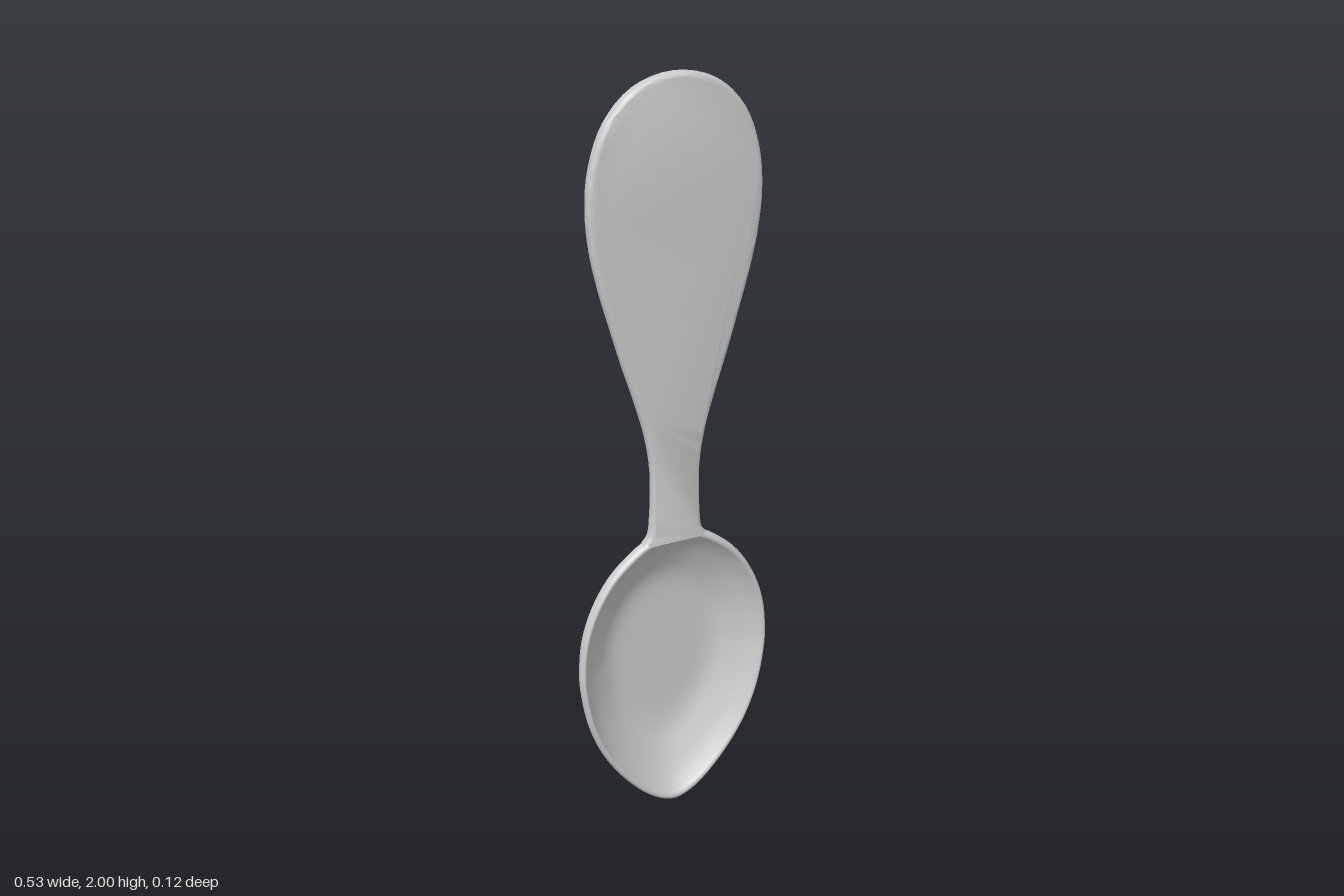
import * as THREE from 'three';
import { toCreasedNormals } from 'three/addons/utils/BufferGeometryUtils.js';

const material = new THREE.MeshStandardMaterial({ color: 0xcccccc });

// Smooth, symmetric, counter-clockwise outline from right-hand points (bottom to top)
function mirroredCurve(half, closed) {
  const left = half.filter(([x]) => x > 0).reverse().map(([x, y]) => [-x, y]);
  const points = [...half, ...left].map(([x, y]) => new THREE.Vector3(x, y, 0));
  return new THREE.CatmullRomCurve3(points, closed, 'centripetal');
}

// Bowl shell: the egg outline scaled to rings, from the back centre over the rim to the inner floor
function bowlGeometry() {
  const outline = mirroredCurve([
    [0, 0.002], [0.06, 0.025], [0.138, 0.1], [0.205, 0.2], [0.244, 0.3], [0.263, 0.4],
    [0.267, 0.46], [0.258, 0.56], [0.228, 0.65], [0.182, 0.725], [0.13, 0.775],
    [0.075, 0.81], [0, 0.826],
  ], true);
  const profile = new THREE.CatmullRomCurve3([
    [0.01, -0.06], [0.3, -0.06], [0.5, -0.058], [0.6, -0.05], [0.7, -0.033], [0.85, -0.002],
    [0.95, 0.017], [0.998, 0.031], [1, 0.042], [0.985, 0.053], [0.958, 0.054], [0.93, 0.044],
    [0.85, 0.02], [0.7, -0.01], [0.6, -0.025], [0.5, -0.032], [0.3, -0.034], [0.01, -0.034],
  ].map(([s, z]) => new THREE.Vector3(s, z, 0)), false, 'centripetal');
  const sides = 96, steps = 68, centreY = 0.44;
  const positions = [], index = [];
  const rim = Array.from({ length: sides }, (_, i) => outline.getPoint(i / sides));
  for (let j = 0; j <= steps; j++) {
    const { x: s, y: z } = profile.getPoint(j / steps);
    for (const p of rim) positions.push(p.x * s, centreY + (p.y - centreY) * s, z);
  }
  for (let j = 0; j < steps; j++) {
    for (let i = 0; i < sides; i++) {
      const a = j * sides + i, b = j * sides + (i + 1) % sides;
      index.push(a, b, b + sides, a, b + sides, a + sides);
    }
  }
  // Close the tiny centre holes at the back and on the floor
  const back = positions.length / 3, floor = back + 1, last = steps * sides;
  positions.push(0, centreY, -0.06, 0, centreY, -0.034);
  for (let i = 0; i < sides; i++) {
    const n = (i + 1) % sides;
    index.push(back, n, i, floor, last + i, last + n);
  }
  const geometry = new THREE.BufferGeometry();
  geometry.setAttribute('position', new THREE.Float32BufferAttribute(positions, 3));
  geometry.setIndex(index);
  geometry.computeVertexNormals();
  return geometry;
}

// Flat paddle handle with rounded edges
function handleGeometry() {
  const curve = mirroredCurve([
    [0.088, 0.803], [0.073, 0.825], [0.067, 0.87], [0.065, 1.0], [0.08, 1.1], [0.108, 1.2],
    [0.14, 1.3], [0.169, 1.4], [0.197, 1.5], [0.218, 1.6], [0.226, 1.7], [0.216, 1.8],
    [0.178, 1.9], [0.105, 1.973], [0, 2.0],
  ], false);
  const shape = new THREE.Shape(curve.getPoints(112).map((p) => new THREE.Vector2(p.x, p.y)));
  const bevel = 0.012;
  const geometry = new THREE.ExtrudeGeometry(shape, {
    depth: 0.012, bevelEnabled: true, bevelSize: bevel, bevelThickness: bevel,
    bevelOffset: -bevel, bevelSegments: 4,
  });
  geometry.translate(0, 0, 0.034);
  return toCreasedNormals(geometry, 0.6);
}

export function createModel() {
  const spoon = new THREE.Group();
  spoon.name = 'spoon';
  for (const [name, geometry] of [['bowl', bowlGeometry()], ['handle', handleGeometry()]]) {
    const mesh = new THREE.Mesh(geometry, material);
    mesh.name = name;
    spoon.add(mesh);
  }
  return spoon;
}
